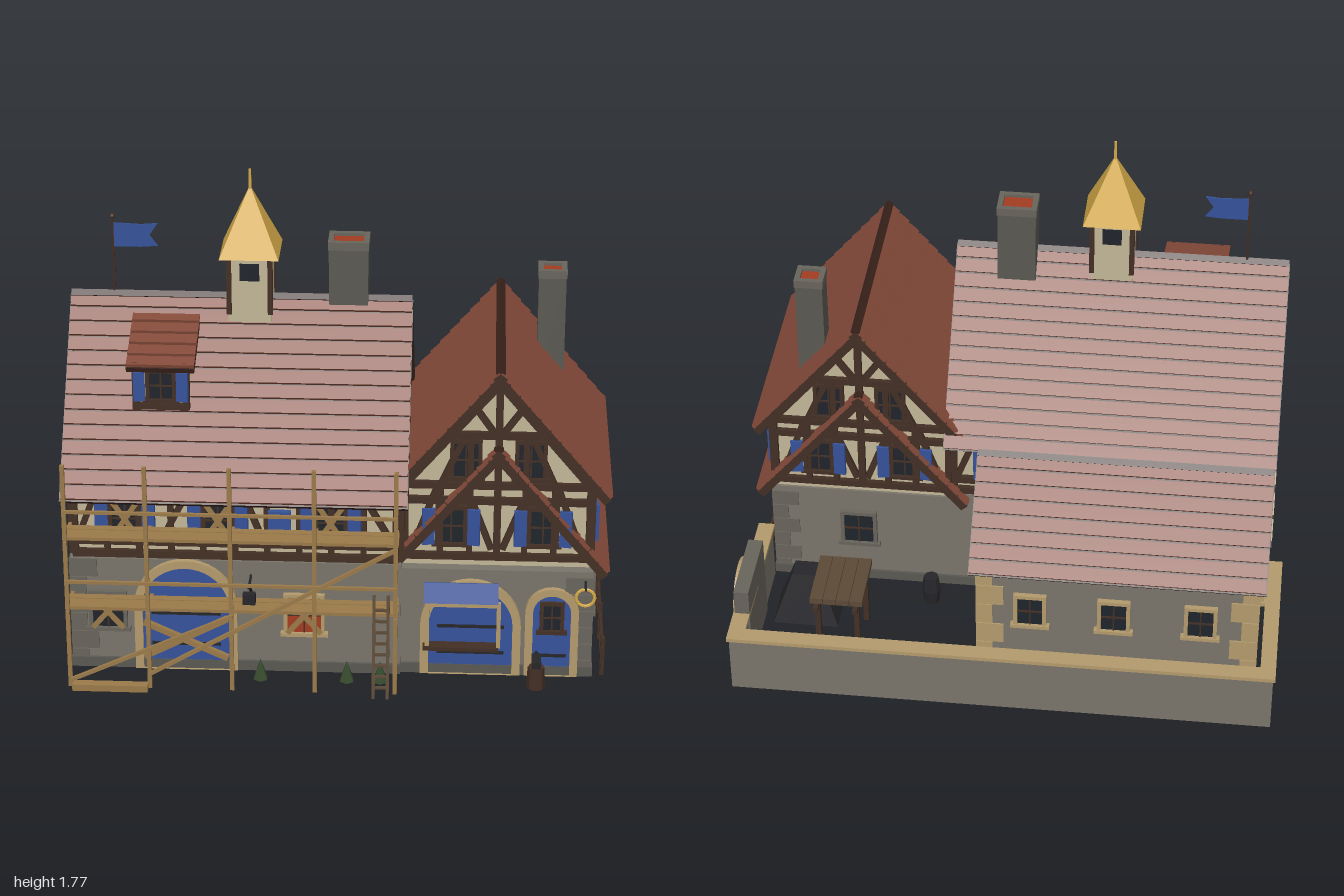
import * as THREE from 'three';

const C = { stone: 0x79746a, block: 0x68645c, dark: 0x5a5852, cream: 0xc2b697, wood: 0x422f24, cart: 0x5d4a37, tile: 0x844a39, under: 0x3a221b, blue: 0x35529a,
  tan: 0xb39a6c, gold: 0xd4aa48, glass: 0x1f242b, plank: 0x9a7a4a, red: 0xa33c20, black: 0x26262a, floor: 0x454341, leaf: 0x35492c };
const mats = {};
const mat = (c) => (mats[c] ??= new THREE.MeshStandardMaterial({ color: C[c], flatShading: true }));

function add(g, name, geo, c, x = 0, y = 0, z = 0) {
  const m = new THREE.Mesh(geo, mat(c));
  m.name = name;
  m.position.set(x, y, z);
  g.add(m);
  return m;
}
const box = (g, name, c, w, h, d, x, y, z) => add(g, name, new THREE.BoxGeometry(w, h, d), c, x, y, z);
// box given by its limits
const span = (g, name, c, x0, x1, y0, y1, z0, z1) => box(g, name, c, x1 - x0, y1 - y0, z1 - z0, (x0 + x1) / 2, (y0 + y1) / 2, (z0 + z1) / 2);
function group(parent, name, x = 0, y = 0, z = 0, yaw = 0) {
  const g = new THREE.Group();
  g.name = name;
  g.position.set(x, y, z);
  g.rotation.y = yaw;
  parent.add(g);
  return g;
}
// square bar between two points
function beam(g, name, c, a, b, w = 0.02, d = w) {
  const p = new THREE.Vector3(...a), q = new THREE.Vector3(...b), dir = q.clone().sub(p);
  const m = box(g, name, c, w, dir.length(), d, 0, 0, 0);
  m.position.addVectors(p, q).multiplyScalar(0.5);
  m.quaternion.setFromUnitVectors(new THREE.Vector3(0, 1, 0), dir.normalize());
}
const timbers = (f, segs, w = 0.022) => segs.forEach(([a, b, c, d]) => beam(f, 'timber', 'wood', [a, b, 0.006], [c, d, 0.006], w, 0.022));
const poly = (pts) => new THREE.Shape(pts.map((p) => new THREE.Vector2(...p)));
const extrude = (s, depth) => new THREE.ExtrudeGeometry(s, { depth, bevelEnabled: false, curveSegments: 10 });

// window on a wall face, with optional shutters or crossed boards
function win(f, x, y, w, h, { frame = 'wood', glass = 'glass', shutters = false, boards = false } = {}) {
  const g = group(f, 'window', x, y, 0), t = 0.014;
  box(g, 'pane', glass, w, h, 0.012, 0, 0, 0.004);
  for (const s of [-1, 1]) {
    box(g, 'frameSide', frame, t, h + 2 * t, 0.026, s * (w + t) / 2, 0, 0.006);
    box(g, 'frameRail', frame, w + (s < 0 ? 0.05 : 0), t, s < 0 ? 0.034 : 0.026, 0, s * (h + t) / 2, 0.006);
    if (shutters) box(g, 'shutter', 'blue', w * 0.52, h + 0.01, 0.014, s * (w * 0.78 + t), 0, 0.02).rotation.y = -s * 0.15;
    if (boards) beam(g, 'board', 'plank', [-s * w / 2, -h / 2, 0.02], [s * w / 2, h / 2, 0.02], 0.018, 0.008);
  }
  box(g, 'mullion', 'wood', 0.006, h, 0.018, 0, 0, 0.006);
  box(g, 'glazingBar', 'wood', w, 0.006, 0.018, 0, 0, 0.006);
}
function archShape(w, h) {
  const s = new THREE.Shape().moveTo(-w / 2, 0).lineTo(w / 2, 0).lineTo(w / 2, h - w / 2);
  return s.absarc(0, h - w / 2, w / 2, 0, Math.PI).closePath();
}
// round-headed door with a stone surround
function archDoor(f, x, w, h, t = 0.025) {
  const g = group(f, 'archDoor', x, 0.005, 0), ring = archShape(w + 2 * t, h + t);
  ring.holes.push(archShape(w, h));
  add(g, 'surround', extrude(ring, 0.02), 'tan');
  add(g, 'door', extrude(archShape(w, h), 0.008), 'blue');
  for (const k of [0.25, 0.55]) box(g, 'hinge', 'black', w * 0.8, 0.01, 0.01, 0, h * k, 0.01);
}
// tiled gable roof, ridge along local x
function gableRoof(parent, name, x, y, z, yaw, len, half, drop, rows) {
  const g = group(parent, name, x, y, z, yaw), a = Math.atan2(drop, half), L = Math.hypot(half, drop), step = L / rows;
  for (const s of [-1, 1]) {
    const slope = group(g, 'slope');
    slope.rotation.x = s * a;
    box(slope, 'underlay', 'under', len, 0.025, L, 0, -0.018, s * L / 2);
    for (let i = 0; i < rows; i++)
      box(slope, 'tileCourse', 'tile', len, 0.014, step * 0.86, 0, 0.002, s * (i + 0.45) * step).rotation.x = -s * 0.1;
    for (const e of [-1, 1]) box(slope, 'bargeBoard', 'wood', 0.022, 0.03, L, e * (len / 2 - 0.008), -0.018, s * L / 2);
  }
  box(g, 'ridgeCap', 'under', len, 0.024, 0.024, 0, 0, 0).rotation.x = Math.PI / 4;
}
// timber framing on a gable face: wall half-width hw, floor y0, eave ye, apex ya
function gableFrame(f, hw, y0, ye, ya) {
  const mid = (ye + ya) / 2, at = (y) => hw * (ya - y) / (ya - ye);
  timbers(f, [[-hw, y0, hw, y0], [-hw, ye - 0.06, hw, ye - 0.06], [-hw, ye, hw, ye], [-at(mid), mid, at(mid), mid], [0, y0, 0, ya - 0.02]], 0.026);
  for (const s of [-1, 1]) {
    timbers(f, [[s * hw, y0, s * hw, ye], [s * hw * 0.3, y0, s * hw * 0.3, mid], [s * hw * 0.62, y0, s * hw * 0.62, ye],
      [s * hw * 0.95, y0, s * hw * 0.65, ye], [s * hw * 0.62, ye, s * at(mid) * 0.72, mid], [s * 0.01, mid, s * at(mid + 0.1), mid + 0.1],
      [s * hw, ye, 0, ya], [s * 0.02, y0 + 0.03, s * hw * 0.28, ye - 0.06]]);
    win(f, s * hw * 0.35, ye + 0.1, 0.085, 0.13);
    win(f, s * hw * 0.5, (y0 + ye) / 2 - 0.02, 0.085, 0.13, { shutters: true });
  }
}
// alternating corner stones
function quoins(g, c, x, z, top, n) {
  const h = top / n;
  for (let i = 0; i < n; i++) {
    const [w, d] = i % 2 ? [0.1, 0.06] : [0.06, 0.1];
    box(g, 'cornerStone', c, w, h - 0.004, d, x - Math.sign(x) * (w / 2 - 0.006), (i + 0.5) * h, z - Math.sign(z) * (d / 2 - 0.006));
  }
}
function chimney(g, x, z, w, d, y0, y1) {
  const c = group(g, 'chimney', x, 0, z);
  span(c, 'stack', 'dark', -w / 2, w / 2, y0, y1 - 0.02, -d / 2, d / 2);
  for (const s of [-1, 1]) {
    box(c, 'rim', 'block', w + 0.006, 0.03, 0.02, 0, y1 - 0.015, s * (d / 2 - 0.007));
    box(c, 'rim', 'block', 0.02, 0.03, d, s * (w / 2 - 0.007), y1 - 0.015, 0);
  }
  box(c, 'flue', 'red', w - 0.03, 0.01, d - 0.03, 0, y1 - 0.016, 0);
}

function mainHouse(root) {
  const g = group(root, 'mainHouse');
  span(g, 'floor', 'floor', -0.93, 0.25, 0, 0.01, -0.18, 0.66);
  span(g, 'stoneStorey', 'stone', -0.93, 0.25, 0.01, 0.44, -0.18, 0.66);
  span(g, 'plinth', 'dark', -0.94, 0.25, 0.002, 0.04, -0.19, 0.67);
  const wall = poly([[-0.405, 0.44], [0.405, 0.44], [0.405, 0.74], [0, 1.24], [-0.405, 0.74]]);
  add(group(g, 'upperWalls', -0.915, 0, 0.24, Math.PI / 2), 'upperStorey', extrude(wall, 1.155), 'cream');
  gableRoof(g, 'mainRoof', -0.34, 1.287, 0.242, 0, 1.22, 0.485, 0.59, 14);
  for (const z of [0.42, -0.42]) quoins(group(g, 'quoins', 0, 0, 0.24), 'block', -0.93, z, 0.44, 6);
  const front = group(g, 'frontFace', 0, 0, 0.646), back = group(g, 'backFace', -0.67, 0, -0.166, Math.PI);
  for (const f of [front, back]) {
    timbers(f, [[-0.92, 0.46, 0.24, 0.46], [-0.92, 0.51, 0.24, 0.51], [-0.92, 0.69, 0.24, 0.69]], 0.028);
    for (let i = 0; i < 11; i++) timbers(f, [[-0.91 + i * 0.114, 0.45, -0.91 + i * 0.114, 0.7]]);
    for (const x of [-0.73, -0.4, 0.0]) win(f, x, 0.6, 0.09, 0.14, { shutters: true, boards: f === front });
    timbers(f, [[-0.9, 0.52, -0.84, 0.68], [-0.6, 0.52, -0.52, 0.68], [-0.3, 0.68, -0.24, 0.52], [0.13, 0.68, 0.22, 0.52]]);
  }
  add(front, 'shield', extrude(poly([[-0.04, 0.65], [-0.04, 0.58], [0, 0.545], [0.04, 0.58], [0.04, 0.65]]), 0.02), 'blue', -0.18, 0, 0.015);
  const low = group(g, 'frontStone', 0, 0, 0.66);
  archDoor(low, -0.52, 0.31, 0.41, 0.03);
  beam(low, 'doorBrace', 'plank', [-0.67, 0.06, 0.025], [-0.37, 0.22, 0.025]);
  beam(low, 'doorBrace', 'plank', [-0.67, 0.2, 0.025], [-0.37, 0.06, 0.025]);
  win(low, -0.8, 0.235, 0.11, 0.13, { frame: 'block', boards: true });
  win(low, -0.095, 0.235, 0.12, 0.14, { frame: 'tan', glass: 'red', boards: true });
  // lantern on a bracket beside the gate
  beam(low, 'lanternBracket', 'black', [-0.285, 0.385, 0], [-0.285, 0.385, 0.1], 0.008);
  beam(low, 'lanternStrut', 'black', [-0.285, 0.32, 0], [-0.285, 0.385, 0.08], 0.008);
  box(low, 'lantern', 'black', 0.045, 0.05, 0.03, -0.285, 0.335, 0.09);
  for (const s of [-1, 1]) gableFrame(group(g, 'gableFace', s > 0 ? 0.242 : -0.917, 0, 0.24, s * Math.PI / 2), 0.4, 0.46, 0.73, 1.22);
  const left = group(g, 'leftStone', -0.93, 0, 0.24, -Math.PI / 2);
  for (const s of [-1, 1]) win(left, s * 0.17, 0.23, 0.12, 0.14, { frame: 'block', boards: true });
  // dormer
  const d = group(g, 'dormer', -0.605, 0, 0);
  span(d, 'dormerBox', 'cream', -0.095, 0.095, 0.97, 1.15, 0.28, 0.515);
  const df = group(d, 'dormerFace', 0, 0, 0.517);
  timbers(df, [[-0.09, 0.97, -0.09, 1.15], [0.09, 0.97, 0.09, 1.15], [-0.1, 0.98, 0.1, 0.98], [-0.1, 1.13, 0.1, 1.13]]);
  win(df, 0, 1.06, 0.08, 0.1, { shutters: true });
  const lid = group(d, 'dormerRoof', 0, 1.235, 0.28);
  lid.rotation.x = 0.36;
  box(lid, 'underlay', 'under', 0.24, 0.02, 0.285, 0, -0.012, 0.142);
  for (let i = 0; i < 5; i++) box(lid, 'tileCourse', 'tile', 0.24, 0.012, 0.05, 0, 0.002, 0.026 + i * 0.057).rotation.x = -0.1;
  // bell turret
  const t = group(g, 'turret', -0.305, 0, 0.24);
  span(t, 'turretBody', 'cream', -0.077, 0.077, 1.22, 1.47, -0.077, 0.077);
  for (const x of [-1, 1]) for (const z of [-1, 1]) span(t, 'turretPost', 'wood', x * 0.073 - 0.009, x * 0.073 + 0.009, 1.25, 1.47, z * 0.073 - 0.009, z * 0.073 + 0.009);
  box(t, 'turretOpening', 'glass', 0.07, 0.065, 0.16, 0, 1.41, 0);
  add(t, 'spire', new THREE.ConeGeometry(0.149, 0.245, 4, 1), 'gold', 0, 1.588, 0).rotation.y = Math.PI / 4;
  add(t, 'finial', new THREE.CylinderGeometry(0.005, 0.007, 0.09, 6), 'gold', 0, 1.725, 0);
  chimney(g, 0.043, 0.212, 0.14, 0.11, 1.2, 1.51);
  // flag
  add(g, 'flagPole', new THREE.CylinderGeometry(0.005, 0.005, 0.32, 6), 'wood', -0.795, 1.43, 0.24);
  add(g, 'flagKnob', new THREE.SphereGeometry(0.01, 6, 4), 'wood', -0.795, 1.585, 0.24);
  add(g, 'flag', extrude(poly([[0, 1.47], [0.1, 1.47], [0.16, 1.475], [0.13, 1.515], [0.16, 1.56], [0.1, 1.555], [0, 1.56]]), 0.005), 'blue', -0.795, 0, 0.238);
}

function sideWing(root) {
  const g = group(root, 'sideWing');
  span(g, 'floor', 'floor', 0.25, 0.93, 0, 0.01, -0.18, 0.645);
  span(g, 'stoneStorey', 'stone', 0.25, 0.93, 0.01, 0.42, -0.18, 0.645);
  span(g, 'plinth', 'dark', 0.25, 0.94, 0.002, 0.04, -0.19, 0.655);
  const wall = poly([[-0.33, 0.42], [0.33, 0.42], [0.33, 0.74], [0, 1.14], [-0.33, 0.74]]);
  add(g, 'upperStorey', extrude(wall, 0.775), 'cream', 0.587, 0, -0.17);
  gableRoof(g, 'wingRoof', 0.587, 1.18, 0.213, Math.PI / 2, 0.845, 0.4, 0.475, 11);
  gableRoof(g, 'skirtRoof', 0.587, 0.885, 0.213, Math.PI / 2, 0.845, 0.4, 0.475, 11);
  for (const z of [0.43, -0.395]) quoins(group(g, 'quoins', 0, 0, 0.215), 'block', 0.93, z, 0.4, 6);
  gableFrame(group(g, 'frontGable', 0.587, 0, 0.606), 0.325, 0.46, 0.74, 1.13);
  gableFrame(group(g, 'backGable', 0.587, 0, -0.171, Math.PI), 0.325, 0.46, 0.74, 1.13);
  const side = group(g, 'sideFace', 0.918, 0, 0.215, Math.PI / 2), low = group(g, 'sideStone', 0.93, 0, 0.215, Math.PI / 2);
  timbers(side, [[-0.39, 0.49, 0.39, 0.49], [-0.39, 0.68, 0.39, 0.68]], 0.028);
  for (const x of [-0.38, -0.13, 0, 0.13, 0.38]) timbers(side, [[x, 0.44, x, 0.72]]);
  for (const s of [-1, 1]) {
    win(side, s * 0.24, 0.58, 0.1, 0.13, { shutters: true });
    win(low, s * 0.2, 0.24, 0.11, 0.13, { frame: 'block' });
    timbers(side, [[s * 0.02, 0.5, s * 0.12, 0.67]]);
  }
  win(group(g, 'backStone', 0.587, 0, -0.18, Math.PI), -0.02, 0.25, 0.11, 0.13, { frame: 'block' });
  chimney(g, 0.773, -0.045, 0.1, 0.095, 0.88, 1.31);
  // shop front with awning and counter
  const f = group(g, 'shopFace', 0, 0, 0.645);
  archDoor(f, 0.5, 0.3, 0.35, 0.03);
  archDoor(f, 0.79, 0.135, 0.325, 0.028);
  win(f, 0.79, 0.24, 0.06, 0.1);
  box(f, 'awning', 'blue', 0.265, 0.075, 0.012, 0.465, 0.345, 0.04).rotation.x = -0.35;
  box(f, 'counter', 'wood', 0.27, 0.014, 0.05, 0.465, 0.125, 0.03);
  for (const x of [0.345, 0.6]) beam(f, 'counterPost', 'tan', [x, 0.13, 0.04], [x, 0.31, 0.04], 0.015);
  beam(f, 'counterRail', 'tan', [0.345, 0.3, 0.04], [0.6, 0.3, 0.04], 0.015);
  // hanging ring sign
  beam(f, 'signBracket', 'black', [0.905, 0.385, 0], [0.905, 0.385, 0.07], 0.008);
  add(f, 'signRing', new THREE.TorusGeometry(0.033, 0.006, 6, 16), 'gold', 0.905, 0.34, 0.04);
}

function backWing(root) {
  const g = group(root, 'backWing', 0, 0, -0.525);
  span(g, 'floor', 'floor', -0.92, 0.08, 0, 0.01, -0.26, 0.35);
  span(g, 'walls', 'stone', -0.92, 0.08, 0.01, 0.62, -0.26, 0.26);
  span(g, 'wallPlate', 'tan', -0.925, 0.085, 0.615, 0.635, -0.265, 0.265);
  add(group(g, 'gable', -0.918, 0, 0, -Math.PI / 2), 'gablePanel', new THREE.ShapeGeometry(poly([[-0.26, 0.63], [0.26, 0.63], [0, 0.89]])), 'cream');
  gableRoof(g, 'backRoof', -0.42, 0.92, 0, 0, 1.05, 0.305, 0.31, 8);
  for (const x of [-0.92, 0.08]) for (const z of [-0.26, 0.26]) quoins(group(g, 'quoins', -0.42), 'tan', x + 0.42, z, 0.62, 7);
  const back = group(g, 'backFace', 0, 0, -0.26, Math.PI);
  for (const x of [0.11, 0.41, 0.72]) win(back, x, 0.43, 0.09, 0.12, { frame: 'tan' });
  for (const s of [-1, 1]) win(group(g, 'endFace', s > 0 ? 0.08 : -0.92, 0, 0, s * Math.PI / 2), 0, 0.43, 0.09, 0.12, { frame: 'tan' });
}

function yard(root) {
  const g = group(root, 'yard');
  for (const [x0, x1, z0, z1] of [[-0.99, 0.985, -0.845, -0.8], [-0.99, -0.95, -0.8, -0.21], [0.94, 0.985, -0.8, -0.2]]) {
    span(g, 'yardWall', 'stone', x0, x1, 0, 0.225, z0, z1);
    span(g, 'wallCap', 'tan', x0 - 0.008, x1 + 0.008, 0.225, 0.24, z0 - 0.008, z1 + 0.008);
  }
  span(g, 'gatePier', 'block', 0.932, 0.987, 0, 0.34, -0.71, -0.41);
  archDoor(group(g, 'gate', 0.98, 0, -0.55, Math.PI / 2), 0, 0.21, 0.31, 0.022);
  // cart
  for (let i = 0; i < 4; i++) span(g, 'cartPlank', 'cart', 0.525 + i * 0.049, 0.572 + i * 0.049, 0.255, 0.28, -0.645, -0.4);
  for (const x of [0.55, 0.695]) {
    beam(g, 'cartShaft', 'wood', [x, 0.245, -0.4], [x, 0.245, -0.67], 0.018);
    for (const z of [-0.62, -0.42]) beam(g, 'cartLeg', 'wood', [x, 0, z], [x, 0.255, z], 0.02);
  }
  // forge hood and barrel
  add(g, 'hood', new THREE.CylinderGeometry(0.06, 0.1414, 0.2, 4).rotateY(Math.PI / 4).scale(1.23, 1, 0.93), 'black', 0.773, 0.1, -0.387);
  const stave = [[0, 0], [0.028, 0], [0.036, 0.06], [0.028, 0.12], [0, 0.12]].map((p) => new THREE.Vector2(...p));
  add(g, 'barrel', new THREE.LatheGeometry(stave, 8), 'black', 0.32, 0, -0.29);
  // fence beside the wing
  for (const z of [0.63, 0.37, 0.14, -0.15]) beam(g, 'fencePost', 'wood', [0.975, 0, z], [0.975, 0.15, z], 0.016);
  for (const y of [0.045, 0.115]) beam(g, 'fenceRail', 'wood', [0.975, y, 0.65], [0.975, y, -0.18], 0.011);
  // shrubs and anvil
  for (const x of [-0.25, 0.06, 0.18]) add(g, 'shrub', new THREE.ConeGeometry(0.028, 0.08, 6), 'leaf', x, 0.04, 0.72);
  add(g, 'anvilBlock', new THREE.CylinderGeometry(0.03, 0.034, 0.08, 8), 'wood', 0.737, 0.04, 0.73);
  box(g, 'anvilFoot', 'black', 0.03, 0.02, 0.04, 0.737, 0.09, 0.73);
  box(g, 'anvilFace', 'black', 0.034, 0.022, 0.07, 0.737, 0.11, 0.74);
  add(g, 'anvilHorn', new THREE.ConeGeometry(0.014, 0.04, 6), 'black', 0.737, 0.112, 0.687).rotation.x = -Math.PI / 2;
}

function scaffold(root) {
  const g = group(root, 'scaffold'), P = 'plank';
  for (const x of [-0.925, -0.64, -0.345, -0.05, 0.235]) {
    beam(g, 'pole', P, [x, 0, 0.805], [x, 0.875, 0.805], 0.015);
    for (const y of [0.3, 0.575]) beam(g, 'putlog', P, [x, y, 0.66], [x, y, 0.82], 0.013);
  }
  for (const y of [0.315, 0.59]) {
    for (const z of [0.725, 0.76, 0.79]) box(g, 'deckPlank', P, 1.18, 0.012, 0.03, -0.345, y, z);
    beam(g, 'guardRail', P, [-0.93, y + 0.11, 0.815], [0.24, y + 0.11, 0.815], 0.011);
  }
  for (const [a, b, c, d] of [[-0.92, 0.03, -0.345, 0.3], [-0.64, 0.06, 0.235, 0.58]]) beam(g, 'brace', P, [a, b, 0.815], [c, d, 0.815], 0.013);
  span(g, 'loosePlanks', P, -0.915, -0.645, 0, 0.025, 0.81, 0.845);
  // ladder
  for (const x of [0.16, 0.21]) beam(g, 'ladderRail', 'cart', [x, 0, 0.845], [x, 0.39, 0.8], 0.011);
  for (let i = 1; i < 9; i++) beam(g, 'rung', 'cart', [0.16, i * 0.042, 0.845 - i * 0.0048], [0.21, i * 0.042, 0.845 - i * 0.0048], 0.009);
}

export function createModel() {
  const root = new THREE.Group();
  root.name = 'timberFramedHouse';
  [mainHouse, sideWing, backWing, yard, scaffold].forEach((part) => part(root));
  return root;
}
